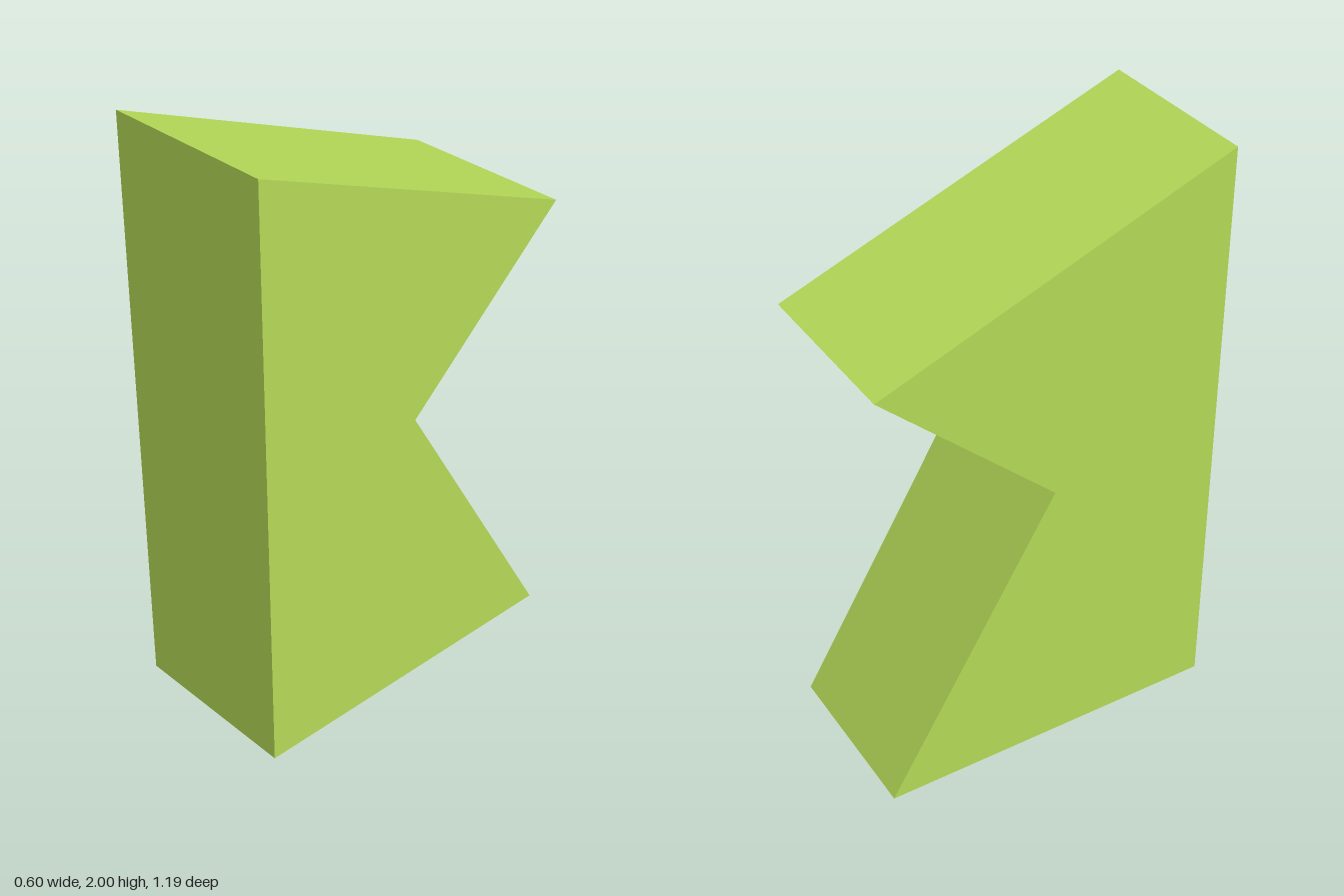
import * as THREE from 'three';

const WIDTH = 0.6;
const HALF_DEPTH = 0.593;

export function createModel() {
  const group = new THREE.Group();
  group.name = 'notchedBlock';

  // Side profile: upright front, sloping top, V-shaped notch in the back
  const profile = new THREE.Shape([
    new THREE.Vector2(-HALF_DEPTH, 0),
    new THREE.Vector2(HALF_DEPTH, 0),
    new THREE.Vector2(0, 1),
    new THREE.Vector2(HALF_DEPTH, 1.54),
    new THREE.Vector2(-HALF_DEPTH, 2),
  ]);

  // Extrude across the width, then turn the profile so its left edge faces +z
  const geometry = new THREE.ExtrudeGeometry(profile, { depth: WIDTH, bevelEnabled: false });
  geometry.translate(0, 0, -WIDTH / 2);
  geometry.rotateY(Math.PI / 2);

  const material = new THREE.MeshStandardMaterial({ color: 0xb4d957, flatShading: true });
  const block = new THREE.Mesh(geometry, material);
  block.name = 'block';
  group.add(block);
  return group;
}
